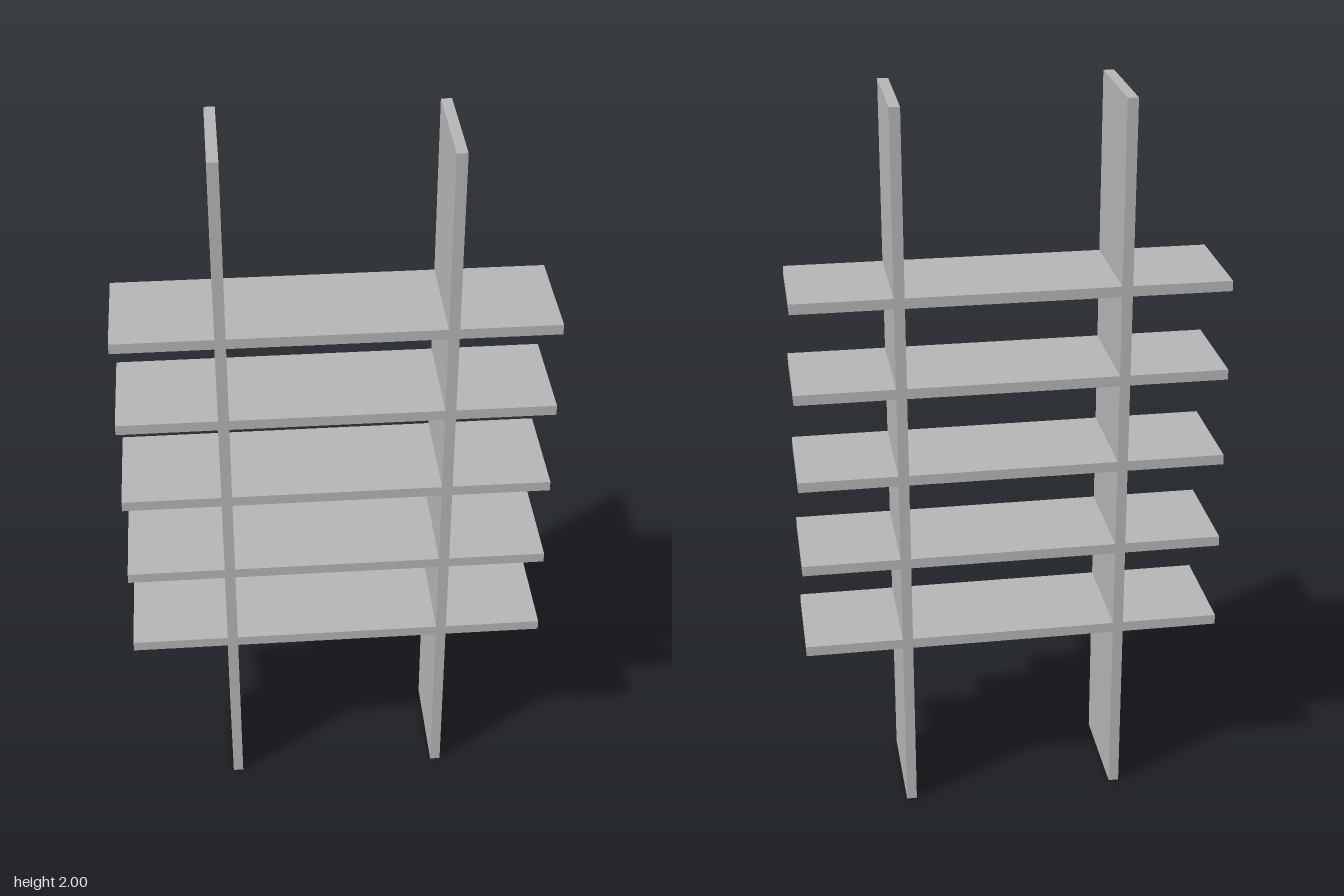
import * as THREE from 'three';

const DEPTH = 0.296;      // front to back
const BOARD = 0.028;      // board thickness
const HEIGHT = 2;
const HALF_WIDTH = 0.57;  // half the shelf length
const UPRIGHT_X = 0.293;  // centre of each upright
const SHELF_COUNT = 5;
const FIRST_SHELF = 0.51;
const SHELF_STEP = 0.247;

export function createModel() {
  const group = new THREE.Group();
  group.name = 'shelfUnit';
  const grey = new THREE.MeshStandardMaterial({ color: 0xb4b4b4 });
  grey.name = 'light grey';

  const board = (name, parent, x0, x1, y0, y1) => {
    const mesh = new THREE.Mesh(new THREE.BoxGeometry(x1 - x0, y1 - y0, DEPTH), grey);
    mesh.position.set((x0 + x1) / 2, (y0 + y1) / 2, 0);
    mesh.name = name;
    parent.add(mesh);
  };

  // Two full-height uprights
  for (const [side, name] of [[1, 'leftUpright'], [-1, 'rightUpright']]) {
    const x = side * UPRIGHT_X;
    board(name, group, x - BOARD / 2, x + BOARD / 2, 0, HEIGHT);
  }

  // Shelves, each a middle span and two overhanging ends that butt against the uprights
  const inner = UPRIGHT_X - BOARD / 2;
  const outer = UPRIGHT_X + BOARD / 2;
  for (let i = 0; i < SHELF_COUNT; i++) {
    const shelf = new THREE.Group();
    shelf.name = `shelf${i + 1}`;
    const y0 = FIRST_SHELF + i * SHELF_STEP - BOARD / 2;
    const y1 = y0 + BOARD;
    board('middleSpan', shelf, -inner, inner, y0, y1);
    board('leftEnd', shelf, outer, HALF_WIDTH, y0, y1);
    board('rightEnd', shelf, -HALF_WIDTH, -outer, y0, y1);
    group.add(shelf);
  }
  return group;
}
